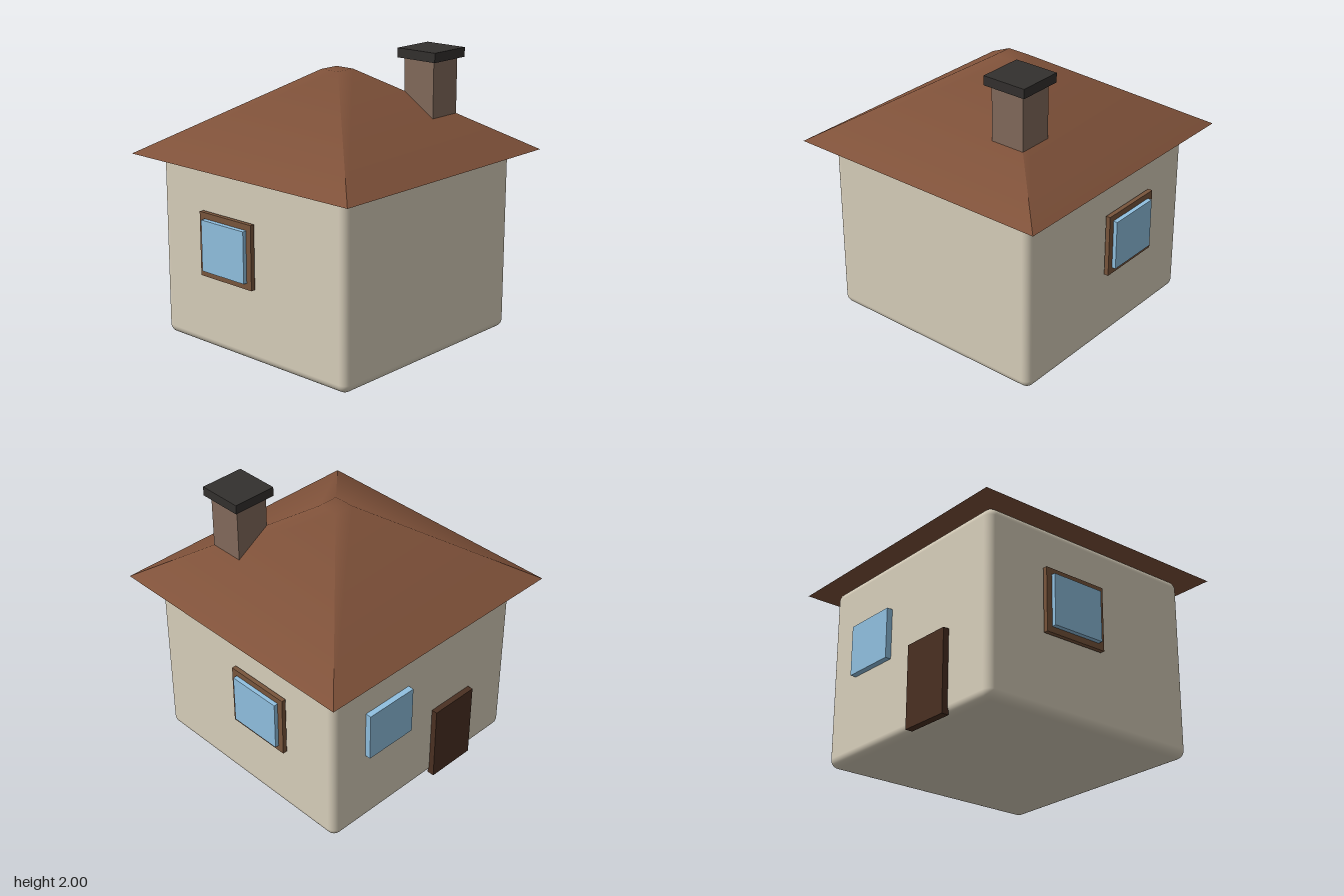
import * as THREE from 'three';
import { RoundedBoxGeometry } from 'three/addons/geometries/RoundedBoxGeometry.js';

const mat = (color) => new THREE.MeshStandardMaterial({ color });
const WALL = mat(0xd8cfbb), ROOF = mat(0x80523a), TRIM = mat(0x78553c), GLASS = mat(0x90c0e0);
const DOOR = mat(0x4a3022), BRICK = mat(0x826a5b), CAP = mat(0x33302e);

function mesh(name, geometry, material) {
  const m = new THREE.Mesh(geometry, material);
  m.name = name;
  return m;
}

// Box given by its minimum and maximum corners
function box(name, [x0, y0, z0], [x1, y1, z1], material) {
  const m = mesh(name, new THREE.BoxGeometry(x1 - x0, y1 - y0, z1 - z0), material);
  m.position.set((x0 + x1) / 2, (y0 + y1) / 2, (z0 + z1) / 2);
  return m;
}

// Truncated pyramid: crisp eaves and hips that soften towards the flat tip
function roofGeometry(bottom, top, height) {
  const g = new THREE.CylinderGeometry(top * Math.SQRT2, bottom * Math.SQRT2, height, 4)
    .rotateY(Math.PI / 4).toNonIndexed();
  g.computeVertexNormals();
  const p = g.attributes.position, n = g.attributes.normal, v = new THREE.Vector3();
  for (let i = 0; i < p.count; i++) {
    if (p.getY(i) < 0) continue;
    v.set(p.getX(i) / top * 0.2, 1, p.getZ(i) / top * 0.2).normalize();
    n.setXYZ(i, v.x, v.y, v.z);
  }
  return g;
}

// Rectangular frame with an opening, facing +x
function frameGeometry(w, h, border, depth) {
  const rect = (Type, a, b) => new Type([[-a, -b], [a, -b], [a, b], [-a, b]].map(([x, y]) => new THREE.Vector2(x, y)));
  const shape = rect(THREE.Shape, w / 2, h / 2);
  shape.holes.push(rect(THREE.Path, w / 2 - border, h / 2 - border));
  return new THREE.ExtrudeGeometry(shape, { depth, bevelEnabled: false })
    .translate(0, 0, -depth / 2).rotateY(Math.PI / 2);
}

export function createModel() {
  const house = new THREE.Group();
  house.name = 'house';

  // Walls
  const walls = mesh('walls', new RoundedBoxGeometry(1.68, 1.285, 1.68, 4, 0.06), WALL);
  walls.position.y = 0.6475;
  house.add(walls);

  // Hipped roof
  const roof = mesh('roof', roofGeometry(0.983, 0.075, 0.57), ROOF);
  roof.position.y = 1.575;
  house.add(roof);

  // Chimney
  const chimney = new THREE.Group();
  chimney.name = 'chimney';
  chimney.add(
    box('chimneyStack', [0.32, 1.4, 0.32], [0.57, 1.935, 0.57], BRICK),
    box('chimneyCap', [0.285, 1.935, 0.285], [0.605, 2, 0.605], CAP),
  );
  house.add(chimney);

  // Framed windows on both sides, slightly proud of the walls
  for (const [side, s] of [['left', 1], ['right', -1]]) {
    const win = new THREE.Group();
    win.name = side + 'Window';
    const frame = mesh(side + 'WindowFrame', frameGeometry(0.48, 0.445, 0.042, 0.032), TRIM);
    frame.position.set(s * 0.874, 0.7525, -0.178);
    const xs = [s * 0.86, s * 0.918].sort((a, b) => a - b);
    win.add(frame, box(side + 'WindowPane', [xs[0], 0.575, -0.375], [xs[1], 0.93, 0.02], GLASS));
    house.add(win);
  }

  // Back wall: plain window and door
  house.add(
    box('backWindow', [0.16, 0.575, -0.882], [0.555, 0.93, -0.83], GLASS),
    box('door', [-0.45, 0.005, -0.882], [-0.085, 0.575, -0.83], DOOR),
  );
  return house;
}
